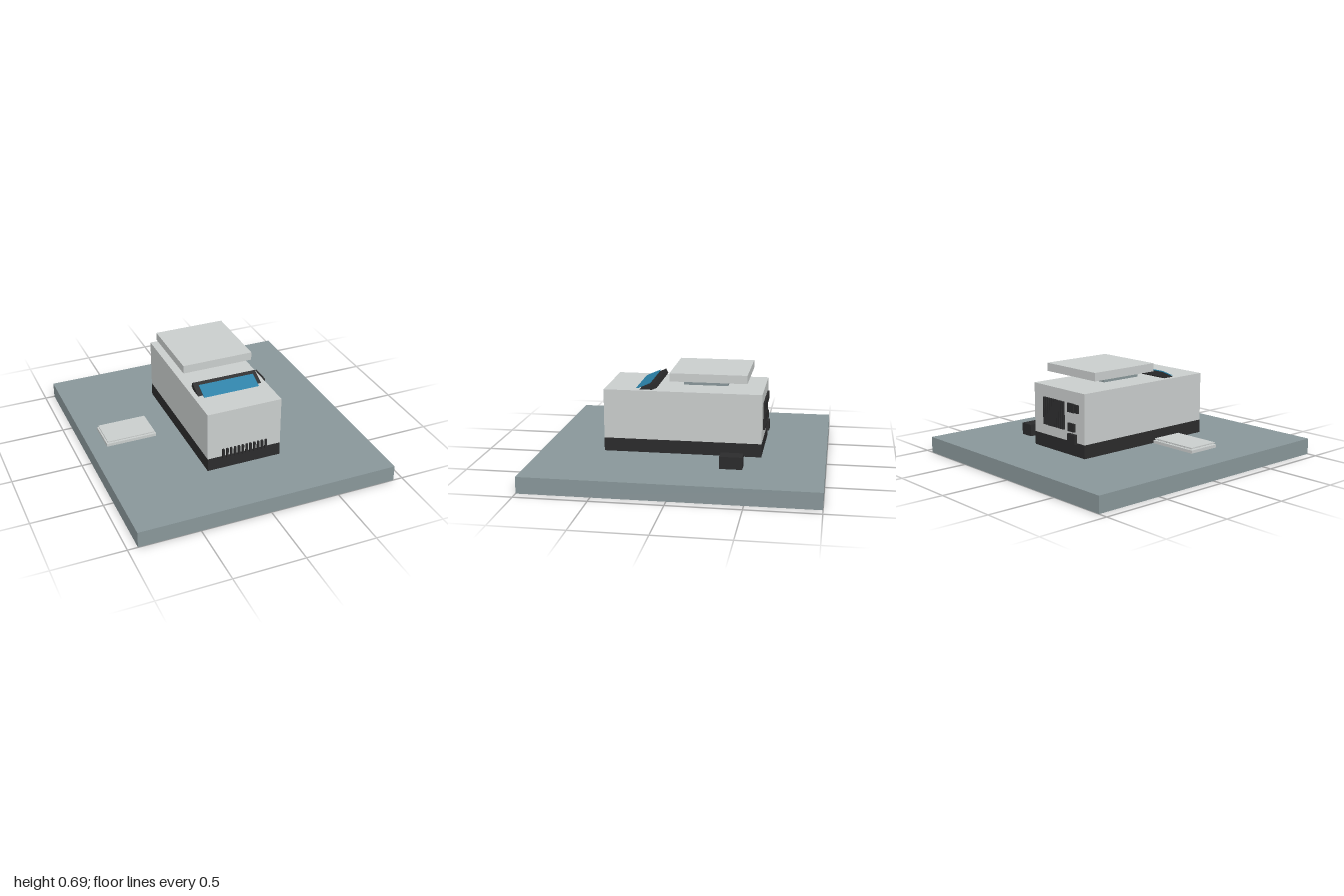
import * as THREE from 'three';

export function createModel() {
  const group = new THREE.Group();
  const material = (name, color) => {
    const m = new THREE.MeshStandardMaterial({ color });
    m.name = name;
    return m;
  };
  const shell = material('light grey shell', 0xcacecd);
  const slate = material('slate grey', 0x89979a);
  const black = material('charcoal', 0x2b2b2c);
  const blue = material('screen blue', 0x2a80a6);

  // Box given by its extents along each axis
  function box(name, mat, [x0, x1], [y0, y1], [z0, z1], parent = group) {
    const mesh = new THREE.Mesh(new THREE.BoxGeometry(x1 - x0, y1 - y0, z1 - z0), mat);
    mesh.position.set((x0 + x1) / 2, (y0 + y1) / 2, (z0 + z1) / 2);
    mesh.name = name;
    parent.add(mesh);
    return mesh;
  }

  // Row of upright vent slots on a face
  function vents(name, count, x0, x1, width, y, z) {
    const row = new THREE.Group();
    row.name = name;
    for (let i = 0; i < count; i++) {
      const x = x0 + width / 2 + (x1 - x0 - width) * i / (count - 1);
      box('ventSlot', black, [x - width / 2, x + width / 2], y, z, row);
    }
    group.add(row);
  }

  // Bench and instrument housing
  box('bench', slate, [-0.93, 0.93], [0, 0.115], [-1, 1]);
  box('housingFoot', black, [-0.27, 0.27], [0.115, 0.21], [-0.555, 0.555]);
  box('housing', shell, [-0.27, 0.27], [0.21, 0.56], [-0.555, 0.555]);

  // Heating block and raised lid
  box('heatingBlock', slate, [-0.19, 0.19], [0.595, 0.614], [-0.31, 0]);
  box('lid', shell, [-0.257, 0.257], [0.63, 0.688], [-0.45, 0.09]);

  // Tilted display, its lower edge sunk into the housing
  const tilt = THREE.MathUtils.degToRad(24);
  const bezel = box('displayBezel', black, [-0.235, 0.235], [-0.018, 0.018], [-0.09, 0.09]);
  bezel.position.set(0, 0.555, 0.273);
  bezel.rotation.x = tilt;
  const screen = box('displayScreen', blue, [-0.203, 0.203], [-0.003, 0.003], [-0.07, 0.07]);
  screen.position.set(0, 0.574, 0.3);
  screen.rotation.x = tilt;

  // Ventilation
  vents('frontVents', 12, -0.165, 0.165, 0.014, [0.2, 0.268], [0.55, 0.57]);
  vents('rearVents', 10, -0.062, 0.158, 0.013, [0.283, 0.477], [-0.57, -0.55]);

  // Rear connectors
  box('dataPort', black, [-0.168, -0.102], [0.415, 0.477], [-0.568, -0.55]);
  box('smallPort', black, [-0.216, -0.178], [0.418, 0.475], [-0.568, -0.55]);
  box('powerSwitch', black, [-0.175, -0.11], [0.283, 0.34], [-0.57, -0.55]);
  box('powerInlet', black, [-0.19, -0.112], [0.2, 0.268], [-0.578, -0.55]);

  // Sample plate: skirt, wells and cover film
  const plate = new THREE.Group();
  plate.name = 'samplePlate';
  group.add(plate);
  box('plateSkirt', shell, [-0.84, -0.48], [0.19, 0.211], [-0.118, 0.116], plate);
  const wellGeometry = new THREE.CylinderGeometry(0.009, 0.009, 0.008, 10);
  for (let i = 0; i < 12; i++) {
    for (let j = 0; j < 8; j++) {
      const well = new THREE.Mesh(wellGeometry, shell);
      well.name = 'well';
      well.position.set(-0.808 + i * 0.027, 0.215, -0.096 + j * 0.027);
      plate.add(well);
    }
  }
  box('coverFilm', shell, [-0.832, -0.488], [0.219, 0.226], [-0.113, 0.111], plate);

  // Small black accessory block
  box('accessoryBlock', black, [0.463, 0.562], [0.115, 0.2], [-0.452, -0.296]);

  return group;
}
